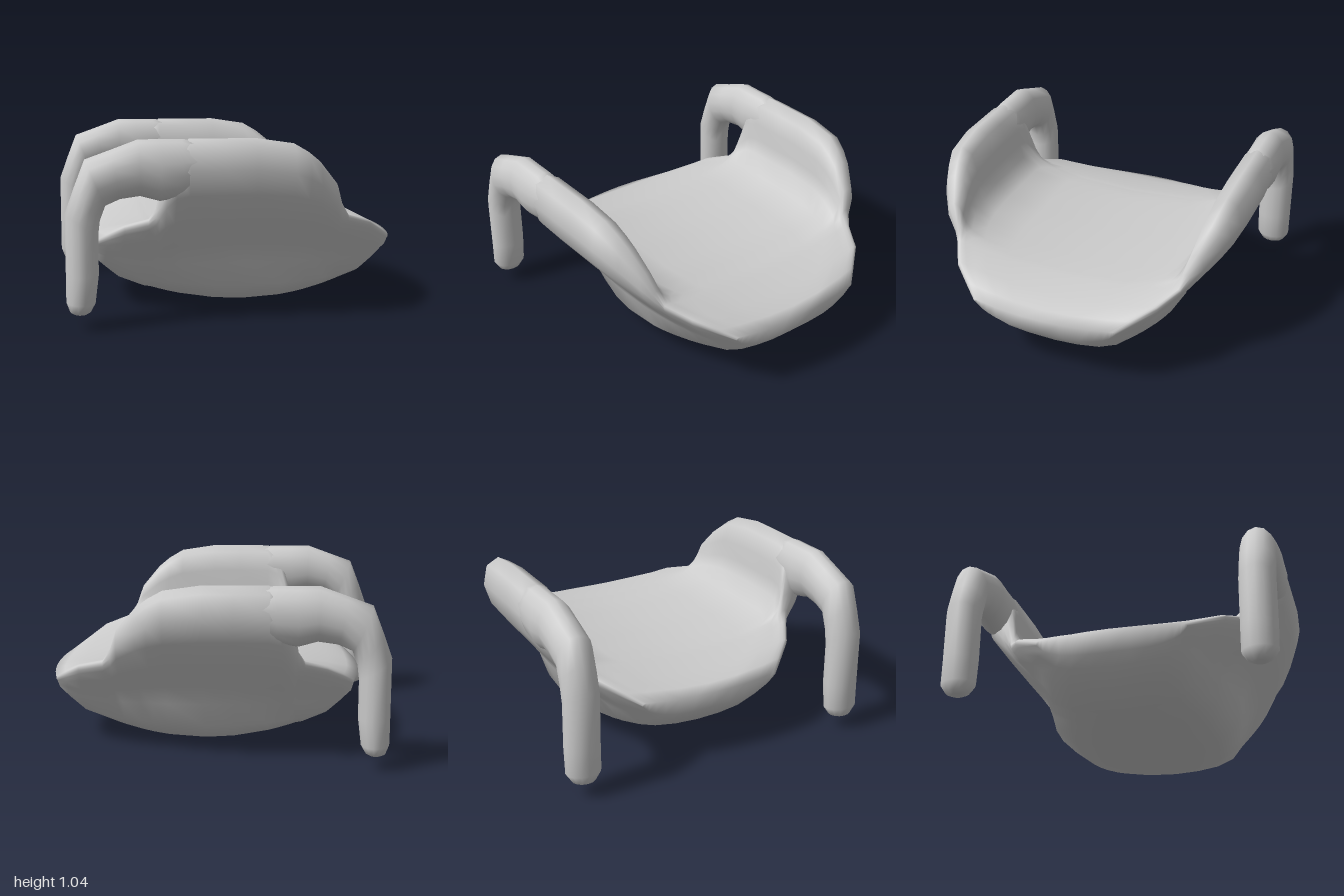
import * as THREE from 'three';

const material = new THREE.MeshStandardMaterial({ color: 0xcccccc, side: THREE.DoubleSide });
const lerp = THREE.MathUtils.lerp;

// Skin over closed rings of equal point count, closed at both ends by strips
function loft(name, rings) {
  const n = rings[0].length, half = n / 2, idx = [];
  const quad = (a, b, c, d) => idx.push(a, c, b, b, c, d);
  for (let j = 0; j < rings.length - 1; j++) {
    for (let i = 0; i < n; i++) {
      const a = j * n + i, b = j * n + (i + 1) % n;
      quad(a, b, a + n, b + n);
    }
  }
  // each strip joins point k to the point facing it across the ring
  const reach = (half - 1) / 2;
  const last = (rings.length - 1) * n;
  for (let k = -reach; k < reach; k++) {
    const [a, b, c, d] = [k, k + 1, half - k, half - k - 1].map(i => (i + n) % n);
    quad(b, a, d, c);
    quad(last + a, last + b, last + c, last + d);
  }
  const g = new THREE.BufferGeometry();
  g.setAttribute('position', new THREE.Float32BufferAttribute(rings.flat(2), 3));
  g.setIndex(idx);
  g.computeVertexNormals();
  const mesh = new THREE.Mesh(g, material);
  mesh.name = name;
  return mesh;
}

// Half cross-sections [z, y], from bottom centre round the side to top centre
const WING = [[0, 0], [0.25, 0.02], [0.43, 0.045], [0.56, 0.15], [0.59, 0.29], [0.67, 0.41],
  [0.80, 0.57], [0.92, 0.73], [0.963, 0.87], [0.935, 1.0], [0.86, 1.04], [0.785, 1.0],
  [0.755, 0.88], [0.752, 0.77], [0.73, 0.68], [0.65, 0.59], [0.44, 0.53], [0, 0.505]];
const RIM = [[0, 0.08], [0.16, 0.09], [0.31, 0.115], [0.43, 0.17], [0.50, 0.28], [0.57, 0.36],
  [0.65, 0.45], [0.69, 0.51], [0.71, 0.54], [0.715, 0.56], [0.71, 0.57], [0.70, 0.575],
  [0.685, 0.575], [0.66, 0.57], [0.61, 0.555], [0.52, 0.545], [0.36, 0.515], [0, 0.495]];
const END = [[0, 0.29], [0.12, 0.29], [0.22, 0.295], [0.30, 0.31], [0.36, 0.33], [0.40, 0.35],
  [0.42, 0.37], [0.44, 0.39], [0.445, 0.40], [0.44, 0.41], [0.43, 0.412], [0.42, 0.412],
  [0.40, 0.412], [0.36, 0.412], [0.30, 0.41], [0.22, 0.41], [0.12, 0.41], [0, 0.41]];

const CENTRE = 0.06;

// wing: 1 = side fully raised, 0 = plain rim; end: 1 = thin edge of the seat
function seatRing([x, wing, end]) {
  const u = x - CENTRE, side = Math.sign(u);
  const belly = 1 - Math.min(1, (u / 0.57) ** 2);
  const half = RIM.map((r, i) => {
    const t = i < 5 ? belly : wing;
    const z = lerp(lerp(r[0], WING[i][0], t), END[i][0], end);
    const y = lerp(lerp(r[1], WING[i][1], t), END[i][1], end);
    const inset = end * (0.055 * (z / 0.44) ** 2 + (i < 8 ? 0.05 * (1 - i / 8) : 0));
    return [x - side * inset, y, z];
  });
  const mirrored = half.slice(1, -1).reverse().map(([a, b, c]) => [a, b, -c]);
  return [...half, ...mirrored];
}

// Arm rings: outer point, inner point (x, y) and half width in z
const ARM = [
  [-0.20, 1.02, -0.20, 0.78, 0.085],
  [-0.36, 1.04, -0.36, 0.72, 0.103],
  [-0.48, 1.04, -0.48, 0.70, 0.105],
  [-0.60, 1.04, -0.59, 0.73, 0.105],
  [-0.75, 0.985, -0.70, 0.715, 0.105],
  [-0.89, 0.935, -0.78, 0.68, 0.105],
  [-0.95, 0.78, -0.81, 0.60, 0.105],
  [-1.0, 0.64, -0.82, 0.52, 0.105],
  [-1.0, 0.30, -0.82, 0.30, 0.105],
  [-1.0, 0.15, -0.84, 0.14, 0.103],
  [-0.98, 0.095, -0.865, 0.095, 0.07],
  [-0.955, 0.08, -0.89, 0.08, 0.035],
];

function armRing([ox, oy, ix, iy, w], zMid) {
  return Array.from({ length: 14 }, (_, i) => {
    const a = i / 14 * Math.PI * 2, s = (1 + Math.cos(a)) / 2;
    return [lerp(ix, ox, s), lerp(iy, oy, s), zMid + w * Math.sin(a)];
  });
}

export function createModel() {
  const model = new THREE.Group();
  model.name = 'saddleSeat';

  // Bowl-shaped seat whose sides sweep up into the arms
  const stations = [
    [-0.88, 0, 1], [-0.81, 0, 0.7], [-0.695, 0, 0.3], [-0.53, 0, 0], [-0.49, 0.14, 0],
    [-0.47, 0.35, 0], [-0.44, 0.65, 0], [-0.39, 0.92, 0], [-0.32, 1, 0], [-0.12, 1, 0],
    [0.05, 1, 0], [0.27, 0.93, 0], [0.36, 0.82, 0], [0.43, 0.70, 0], [0.54, 0.42, 0],
    [0.58, 0.17, 0], [0.63, 0, 0], [0.815, 0, 0.3], [0.93, 0, 0.7], [1.0, 0, 1],
  ];
  model.add(loft('seat', stations.map(seatRing)));

  // Arms that run along each side and bend down into posts
  for (const [name, z] of [['frontArm', 0.86], ['backArm', -0.86]]) {
    model.add(loft(name, ARM.map(r => armRing(r, z))));
  }
  return model;
}
